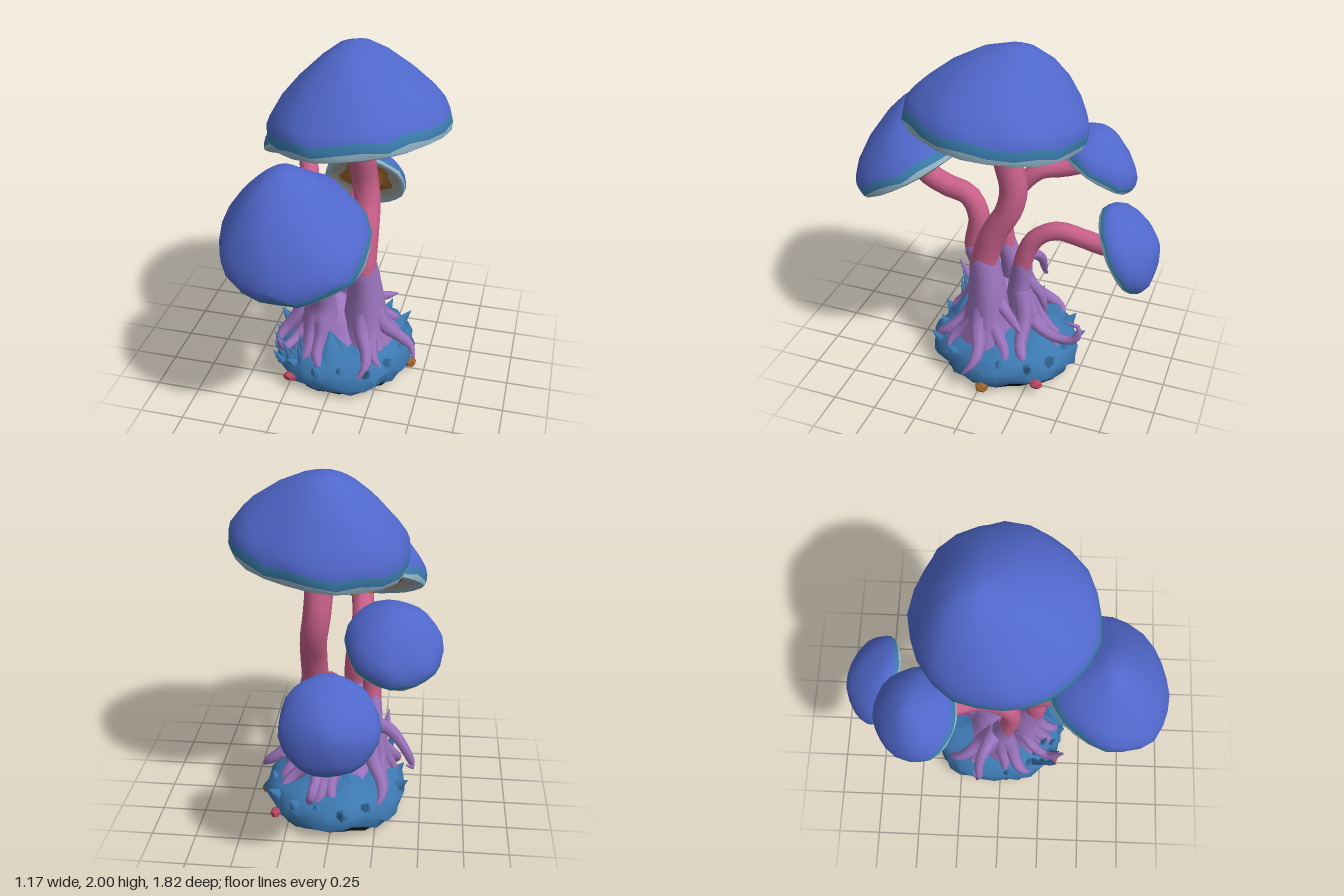
import * as THREE from 'three';

const mat = (name, color) => {
  const m = new THREE.MeshStandardMaterial({ color });
  m.name = name;
  return m;
};
const M = {
  cap: mat('cap blue', 0x5068cc), teal: mat('cap teal', 0x3a7cac), pale: mat('rim pale blue', 0x93b4c6),
  beige: mat('gill grey', 0xa5a198), brown: mat('gill brown', 0xa0682c), pink: mat('stem pink', 0xc8608a),
  violet: mat('root violet', 0x9c74be), ground: mat('mound blue', 0x3c78b0), dark: mat('base dark', 0x08141e),
  red: mat('leaf red', 0xb84860),
};
const V = (x, y, z) => new THREE.Vector3(x, y, z);
const TAU = Math.PI * 2;

// Skin a list of closed rings; mats is one material or one per strip
function loft(name, rings, mats) {
  const n = rings[0].length, pos = [], idx = [], list = [];
  rings.forEach(r => r.forEach(p => pos.push(p.x, p.y, p.z)));
  const g = new THREE.BufferGeometry();
  for (let i = 0; i < rings.length - 1; i++) {
    if (Array.isArray(mats)) {
      if (!list.includes(mats[i])) list.push(mats[i]);
      g.addGroup(idx.length, n * 6, list.indexOf(mats[i]));
    }
    for (let j = 0; j < n; j++) {
      const a = i * n + j, b = i * n + (j + 1) % n;
      idx.push(a, b, a + n, b, b + n, a + n);
    }
  }
  g.setAttribute('position', new THREE.Float32BufferAttribute(pos, 3));
  g.setIndex(idx);
  g.computeVertexNormals();
  const mesh = new THREE.Mesh(g, Array.isArray(mats) ? list : mats);
  mesh.name = name;
  return mesh;
}

// Round limb along a smooth path; flute ridges the foot, fray makes the top edge uneven
function limb(name, pts, radii, material, sides, steps, flute = 0, fray = 0) {
  const curve = new THREE.CatmullRomCurve3(pts);
  const f = curve.computeFrenetFrames(steps);
  const rings = [];
  for (let i = 0; i <= steps; i++) {
    const c = curve.getPointAt(i / steps), k = i / steps * (radii.length - 1);
    const k0 = Math.min(Math.floor(k), radii.length - 2);
    const r = THREE.MathUtils.lerp(radii[k0], radii[k0 + 1], k - k0);
    rings.push(Array.from({ length: sides }, (_, j) => {
      const t = j / sides * TAU, q = r * (1 + flute * (1 - i / steps) * Math.sin(4 * t));
      const lift = i === steps ? fray * (1 + Math.sin(3 * t)) : 0;
      return c.clone().addScaledVector(f.normals[i], q * Math.cos(t)).addScaledVector(f.binormals[i], q * Math.sin(t))
        .addScaledVector(f.tangents[i], lift);
    }));
  }
  return loft(name, rings, material);
}

// Cap: dome leaning from its rim plane to the apex and swollen along bulge, plus gilled underside
function makeCap({ center: c, normal, apex, bulge, radius, puff, brownTo, stemR, collar, seed }) {
  const N = normal.normalize(), A = apex.clone().sub(c);
  const U = V(1, 0, 0).addScaledVector(N, -N.x).normalize(), W = N.clone().cross(U);
  const ring = (r, axis, h, jag = 0, swell = 0, edge = 0) => Array.from({ length: 24 }, (_, j) => {
    const t = j / 24 * TAU;
    const w = radius * (r + edge * Math.sin(5 * t + seed))
      * (1 + 0.018 * Math.sin(3 * t + seed) + 0.012 * Math.sin(7 * t + 2 * seed + 5 * h));
    const wave = h > 0.3 && h < 0.97 ? 0.02 * Math.sin(2 * t + seed + 4 * h) : 0;
    return c.clone().addScaledVector(U, w * Math.cos(t)).addScaledVector(W, w * Math.sin(t))
      .addScaledVector(axis, h + jag * Math.sin(j * 2.4 + seed) + wave).addScaledVector(bulge, swell);
  });
  const rise = h => h <= 0.18 ? h : 0.18 + 0.82 * Math.pow((h - 0.18) / 0.82, puff);
  const dome = [[0.975, 0], [0.995, 0.07, 0.025], [0.985, 0.18, 0.03], [0.94, 0.27], [0.83, 0.41], [0.62, 0.64],
    [0.38, 0.85], [0.17, 0.97], [0.001, 1]].map(([r, h, jag]) => ring(r, A, rise(h), jag, 4 * h * (1 - h)));
  const s = stemR / radius;
  const under = [[s, -collar * s], [s * 1.2, -collar * s * 0.4], [s * 1.8, 0.04], [brownTo, 0.1, 0.06], [0.86, 0.03], [0.92, -0.025]]
    .map(([r, h, edge]) => ring(r, N, h * radius, 0, 0, edge));
  const g = new THREE.Group();
  g.name = 'cap';
  g.add(loft('dome', dome, [M.pale, M.teal, M.cap, M.cap, M.cap, M.cap, M.cap, M.cap]));
  g.add(loft('gills', [...under, dome[0]], [M.brown, M.brown, M.brown, M.beige, M.pale, M.pale]));
  return g;
}

// Whole mushroom: the stem runs from foot to cap, the trunk sleeves its lower end
function makeMushroom(name, foot, bends, stemR, cap) {
  const g = new THREE.Group();
  g.name = name;
  const trunk = [V(foot.x * 1.05, 0.15, foot.z), V(foot.x * 1.03, 0.33, foot.z), foot, bends[0]];
  const end = cap.center.clone().addScaledVector(cap.normal, 0.03);
  g.add(makeCap({ ...cap, stemR: stemR * 1.03 }));
  g.add(limb('stem', [foot, ...bends, end], [stemR, stemR * 0.95, stemR], M.pink, 10, 20));
  g.add(limb('trunk', trunk, [2.2, 1.55, 1.3, 1.06].map(k => k * stemR), M.violet, 16, 10, 0.14, 0.025));
  return g;
}

export function createModel() {
  const model = new THREE.Group();
  model.name = 'mushroomCluster';

  const feet = [V(0.14, 0.54, 0.04), V(-0.1, 0.5, 0.14), V(-0.2, 0.48, 0), V(0.02, 0.5, -0.12)];
  model.add(makeMushroom('tallMushroom', feet[0],
    [V(0.13, 0.71, 0.06), V(0.13, 0.92, 0), V(0.12, 1.07, -0.08), V(0.1, 1.2, -0.1), V(0.09, 1.36, -0.06), V(0.09, 1.47, -0.04)], 0.08,
    { center: V(0.09, 1.54, 0.015), normal: V(-0.13, 1, -0.1), apex: V(0.03, 2, -0.12), bulge: V(0, 0, 0.02),
      radius: 0.495, puff: 0.88, brownTo: 0.42, collar: 0.6, seed: 1 }));
  model.add(makeMushroom('frontMushroom', feet[1],
    [V(-0.09, 0.64, 0.2), V(-0.1, 0.85, 0.18), V(-0.12, 0.97, 0.25), V(-0.12, 1.01, 0.38), V(-0.11, 1.07, 0.49)], 0.067,
    { center: V(-0.1, 1.15, 0.55), normal: V(0, 0.87, 0.51), apex: V(-0.17, 1.55, 0.61), bulge: V(0, -0.03, 0.06),
      radius: 0.385, puff: 0.9, brownTo: 0.64, collar: 1.2, seed: 2.3 }));
  model.add(makeMushroom('sideMushroom', feet[2],
    [V(-0.2, 0.62, 0.04), V(-0.2, 0.87, 0.06), V(-0.2, 1.02, -0.02), V(-0.23, 1.15, -0.14), V(-0.28, 1.17, -0.28)], 0.055,
    { center: V(-0.33, 1.19, -0.43), normal: V(-0.2, 0.85, -0.5), apex: V(-0.37, 1.4, -0.5), bulge: V(0, 0, -0.02),
      radius: 0.255, puff: 0.75, brownTo: 0.64, collar: 1.2, seed: 4 }));
  model.add(makeMushroom('rearMushroom', feet[3],
    [V(0.03, 0.66, -0.13), V(0.02, 0.85, -0.2), V(0, 0.92, -0.32), V(-0.02, 0.89, -0.47), V(-0.03, 0.86, -0.6)], 0.056,
    { center: V(-0.03, 0.865, -0.69), normal: V(0, 0.5, -0.86), apex: V(-0.03, 0.94, -0.865), bulge: V(0, 0.02, 0),
      radius: 0.26, puff: 0.75, brownTo: 0.62, collar: 1.2, seed: 5.5 }));

  // Roots spread over the mound, each from the nearest trunk, around a shared crown
  const roots = new THREE.Group();
  roots.name = 'roots';
  roots.add(limb('crown', [V(-0.04, 0.15, 0), V(-0.04, 0.3, 0), V(-0.04, 0.5, 0.02)], [0.26, 0.19, 0.14, 0.004], M.violet, 14, 8, 0.1));
  for (let i = 0; i < 13; i++) {
    const t = i / 13 * TAU + 0.2, reach = i ? 0.36 + 0.02 * (i % 3) : 0.46;
    const tip = V(reach * Math.cos(t), 0.13, reach * Math.sin(t) - 0.01);
    const foot = feet.reduce((a, b) => Math.hypot(a.x - tip.x, a.z - tip.z) < Math.hypot(b.x - tip.x, b.z - tip.z) ? a : b);
    const run = tip.clone().sub(foot), bend = i % 2 ? 0.15 : -0.15;
    const at = (k, y, s) => V(foot.x + run.x * k - run.z * s, y, foot.z + run.z * k + run.x * s);
    roots.add(limb('root', [at(0.1, 0.5, 0), at(0.36, 0.34, 0), at(0.66, 0.24, bend), at(0.88, 0.19, bend), tip],
      [0.055, 0.05, 0.04, 0.032, 0.006], M.violet, 7, 12));
  }

  // Roots that curl in the air
  const curl = (...pts) => roots.add(limb('curledRoot', pts, [0.055, 0.038, 0.03, 0.024, 0.004], M.violet, 7, 16));
  curl(V(-0.2, 0.5, -0.03), V(-0.3, 0.52, -0.08), V(-0.38, 0.45, -0.12), V(-0.45, 0.3, -0.13), V(-0.41, 0.33, -0.16));
  curl(V(0.04, 0.42, -0.14), V(0.08, 0.3, -0.24), V(0.1, 0.25, -0.38), V(0.1, 0.27, -0.48), V(0.09, 0.35, -0.5), V(0.08, 0.36, -0.42));
  curl(V(-0.14, 0.42, 0.12), V(-0.22, 0.28, 0.2), V(-0.27, 0.25, 0.29), V(-0.29, 0.38, 0.39));
  curl(V(0.13, 0.48, 0), V(0.19, 0.42, -0.1), V(0.29, 0.38, -0.22));
  curl(V(0.03, 0.6, -0.13), V(-0.01, 0.46, -0.23), V(-0.02, 0.32, -0.27));
  model.add(roots);

  // Lumpy mound with a dark foot and flat base
  const profile = [[0.9, 0.022], [0.95, 0.04], [1, 0.08], [0.97, 0.14], [0.87, 0.19], [0.66, 0.23], [0.4, 0.26], [0.001, 0.29]];
  const rings = profile.map(([r, y], i) => Array.from({ length: 36 }, (_, j) => {
    const t = -j / 36 * TAU;
    const q = r * (1 + 0.03 * Math.sin(5 * t + i) + 0.03 * Math.sin(11 * t + 2 * i));
    const lump = i > 1 && i < 7 ? 0.025 * Math.sin(7 * t + 1.7 * i) : i === 1 ? 0.012 * Math.sin(9 * t) : 0;
    return V(0.41 * q * Math.cos(t), y + lump, -0.03 + 0.435 * q * Math.sin(t));
  }));
  model.add(loft('mound', rings, [M.dark, ...Array(6).fill(M.ground)]));
  const base = new THREE.Mesh(new THREE.CircleGeometry(1, 36).rotateX(Math.PI / 2), M.dark);
  base.scale.set(0.375, 1, 0.4);
  base.position.set(0, 0.021, -0.03);
  base.name = 'base';
  model.add(base);

  // Pointed tufts: a clump at one front corner, stubby folds around the rim and a front peak
  const tufts = new THREE.Group();
  tufts.name = 'tufts';
  const spike = (x, y, z, h, r, lean) => {
    const s = new THREE.Mesh(new THREE.ConeGeometry(r, h, 6).translate(0, h / 2, 0), M.ground);
    s.position.set(x, y, z);
    s.quaternion.setFromUnitVectors(V(0, 1, 0), V(x * lean, 1, z * lean).normalize());
    s.name = 'tuft';
    tufts.add(s);
  };
  for (let i = 0; i < 9; i++)
    spike(-0.17 - 0.06 * (i % 3), 0.16, 0.21 + 0.05 * Math.floor(i / 3), 0.12 + 0.03 * (i * 5 % 4), 0.024, 0.5 + 0.4 * (i % 3));
  for (let i = 0; i < 16; i++) {
    const t = i / 16 * TAU + 0.2;
    spike(0.33 * Math.cos(t), 0.11, -0.03 + 0.36 * Math.sin(t), 0.11 + 0.02 * (i % 3), 0.06, 1.2 + i % 3);
  }
  spike(-0.02, 0.17, 0.22, 0.19, 0.13, 0);
  model.add(tufts);

  // Pebble and fallen leaves at the foot
  const bit = (name, m, position, size) => {
    const b = new THREE.Mesh(new THREE.DodecahedronGeometry(1), m);
    b.scale.copy(size);
    b.position.copy(position);
    b.name = name;
    model.add(b);
  };
  bit('pebble', M.brown, V(0.41, 0.032, -0.02), V(0.04, 0.034, 0.04));
  bit('leaf', M.red, V(-0.23, 0.075, 0.34), V(0.05, 0.028, 0.03));
  bit('leaf', M.red, V(0.32, 0.065, -0.32), V(0.03, 0.028, 0.04));
  return model;
}
